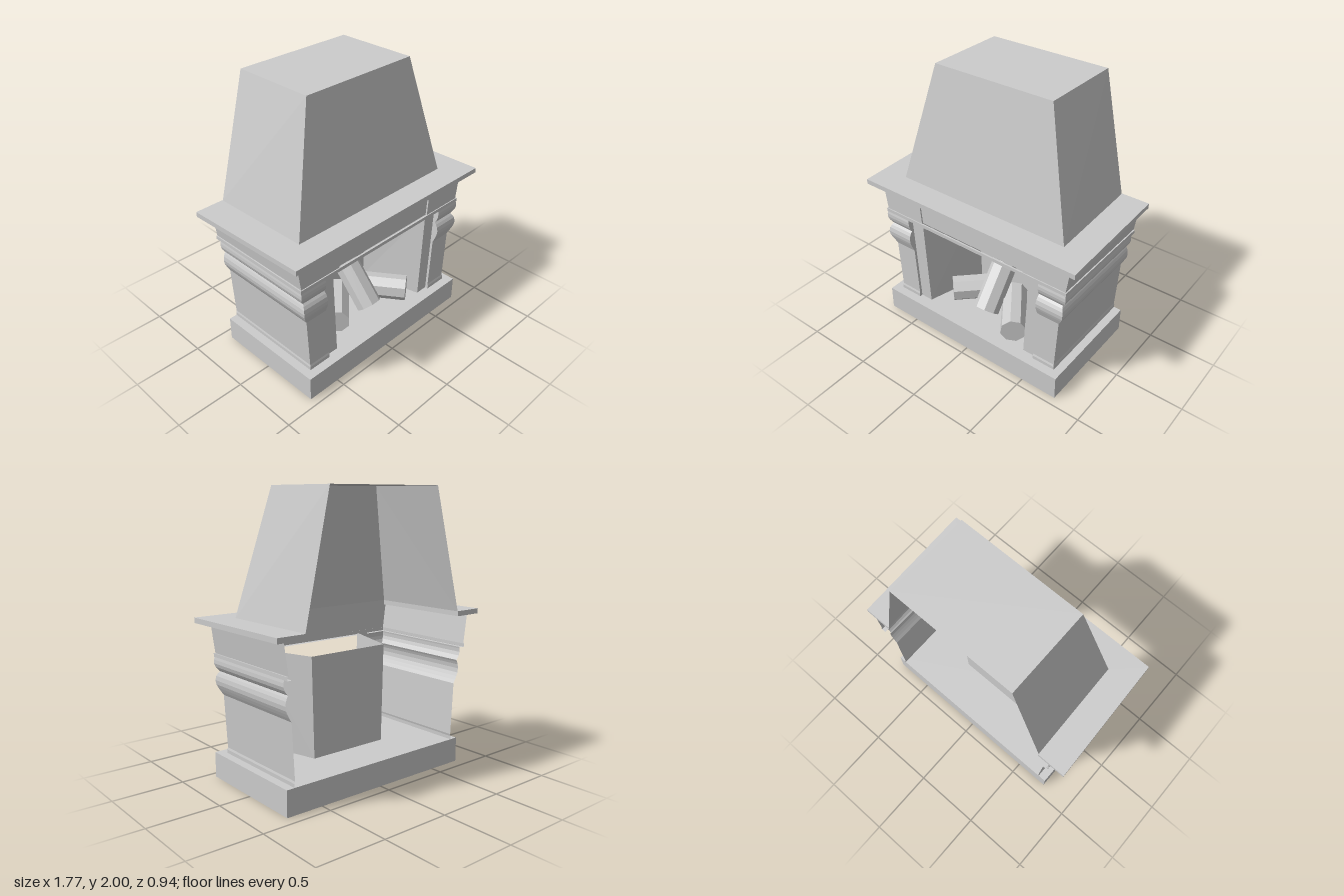
import * as THREE from 'three';

const material = new THREE.MeshStandardMaterial({ color: 0xcccccc, flatShading: true, side: THREE.DoubleSide });
const CX = 0.013; // symmetry line of the body

function addMesh(parent, name, geometry) {
  const mesh = new THREE.Mesh(geometry, material);
  mesh.name = name;
  parent.add(mesh);
  return mesh;
}

// Skin between rows of [x, y, z] points; rows go upward, points run left to right along the front
function loft(rows) {
  const pos = [];
  for (let i = 0; i < rows.length - 1; i++) {
    for (let j = 0; j < rows[i].length - 1; j++) {
      const a = rows[i][j], b = rows[i][j + 1], c = rows[i + 1][j + 1], d = rows[i + 1][j];
      pos.push(...a, ...b, ...c, ...a, ...c, ...d);
    }
  }
  const g = new THREE.BufferGeometry();
  g.setAttribute('position', new THREE.Float32BufferAttribute(pos, 3));
  g.computeVertexNormals();
  return g;
}

// Symmetric row: the given right-hand half [x, z] points, preceded by their mirror image
function mirroredRow(y, half) {
  const right = half.map(([x, z]) => [CX + x, y, z]);
  const left = half.map(([x, z]) => [CX - x, y, z]).reverse();
  return [...left, ...right];
}

const lerp = THREE.MathUtils.lerp;

// Straight log between two points
function addLog(parent, name, from, to, sides, radius) {
  const a = new THREE.Vector3(...from), b = new THREE.Vector3(...to);
  const dir = b.clone().sub(a);
  const g = new THREE.CylinderGeometry(radius, radius, dir.length(), sides);
  g.rotateY(Math.PI / sides);
  const log = addMesh(parent, name, g);
  log.position.copy(a).add(b).multiplyScalar(0.5);
  log.quaternion.setFromUnitVectors(new THREE.Vector3(0, 1, 0), dir.normalize());
}

export function createModel() {
  const model = new THREE.Group();
  model.name = 'fireplace';

  // Hearth: hollow slab, open underneath
  const hearth = new THREE.Group();
  hearth.name = 'hearth';
  model.add(hearth);
  const [hx0, hx1, hz0, hz1, hy] = [-0.75, 0.773, -0.42, 0.44, 0.18];
  const ring = y => [[hx0, y, hz1], [hx1, y, hz1], [hx1, y, hz0], [hx0, y, hz0], [hx0, y, hz1]];
  addMesh(hearth, 'hearthSides', loft([ring(0), ring(hy)]));
  addMesh(hearth, 'hearthTop', loft([
    [[hx0, hy, hz1], [hx1, hy, hz1]],
    [[hx0, hy, hz0], [hx1, hy, hz0]],
  ]));

  // Moulded side pillars: profile of [y, outer x, front z]
  const profile = [
    [0.18, 0.702, 0.376], [0.205, 0.702, 0.376], [0.22, 0.698, 0.371], [0.6, 0.718, 0.371],
    [0.625, 0.733, 0.381], [0.65, 0.746, 0.391], [0.675, 0.757, 0.399], [0.705, 0.761, 0.402],
    [0.735, 0.757, 0.396], [0.755, 0.749, 0.384], [0.77, 0.741, 0.371], [0.778, 0.75, 0.376],
    [0.8, 0.765, 0.387], [0.825, 0.773, 0.393], [0.85, 0.772, 0.393], [0.872, 0.768, 0.388],
  ];
  for (const side of [1, -1]) {
    const rows = profile.map(([y, x, z]) => {
      const inner = lerp(0.525, 0.564, (y - 0.18) / 0.69);
      const row = [[inner, 0.352], [inner, z], [x, z], [x, -0.42]].map(([px, pz]) => [CX + side * px, y, pz]);
      return side > 0 ? row : row.reverse();
    });
    addMesh(model, side > 0 ? 'leftPillar' : 'rightPillar', loft(rows));
  }

  // Firebox: front jambs, splayed cheeks and back wall
  addMesh(model, 'firebox', loft([
    mirroredRow(0.18, [[0.305, -0.1], [0.43, 0.352], [0.525, 0.352]]),
    mirroredRow(0.89, [[0.322, -0.1], [0.464, 0.352], [0.565, 0.352]]),
  ]));

  // Band under the frieze
  addMesh(model, 'band', loft([
    [0.87, 0.74, 0.355], [0.87, 0.773, 0.392], [0.895, 0.773, 0.392], [0.895, 0.763, 0.384],
  ].map(([y, x, z]) => mirroredRow(y, [[x, z], [x, -0.46]]))));

  // Frieze with a shallow recessed centre panel
  addMesh(model, 'frieze', loft([[0.895, 0.764, 0.436], [1.1, 0.793, 0.452]].map(([y, x, panel]) =>
    mirroredRow(y, [[panel, 0.374], [panel, 0.385], [x, 0.385], [x, -0.46]]))));

  // Mantel shelf, U-shaped around the hood
  const shelf = new THREE.Shape([
    [-0.885, -0.47], [-0.675, -0.47], [-0.66, 0.277], [0.68, 0.277],
    [0.655, -0.47], [0.86, -0.47], [0.882, 0.465], [-0.855, 0.465],
  ].map(p => new THREE.Vector2(...p)));
  const shelfGeometry = new THREE.ExtrudeGeometry(shelf, { depth: 0.036, bevelEnabled: false });
  shelfGeometry.rotateX(Math.PI / 2);
  addMesh(model, 'mantelShelf', shelfGeometry).position.y = 1.137;

  // Tapered chimney hood, open at the back
  const hood = new THREE.Group();
  hood.name = 'chimneyHood';
  model.add(hood);
  const hoodTop = [[-0.443, 2, -0.465], [-0.443, 2, 0.14], [0.468, 2, 0.14], [0.468, 2, -0.465]];
  addMesh(hood, 'hoodSides', loft([
    [[-0.675, 1.135, -0.465], [-0.66, 1.135, 0.277], [0.68, 1.135, 0.277], [0.655, 1.135, -0.465]],
    hoodTop,
  ]));
  addMesh(hood, 'hoodTop', loft([[hoodTop[1], hoodTop[2]], [hoodTop[0], hoodTop[3]]]));

  // Three logs: two lying, one leaning back on them
  const logs = new THREE.Group();
  logs.name = 'logs';
  model.add(logs);
  addLog(logs, 'rightLog', [-0.3, 0.272, 0.23], [-0.03, 0.272, -0.035], 8, 0.094);
  addLog(logs, 'leftLog', [0.335, 0.272, 0.325], [0.09, 0.272, -0.02], 8, 0.094);
  addLog(logs, 'leaningLog', [0.025, 0.245, 0.24], [0.015, 0.53, 0.0], 8, 0.094);

  return model;
}
